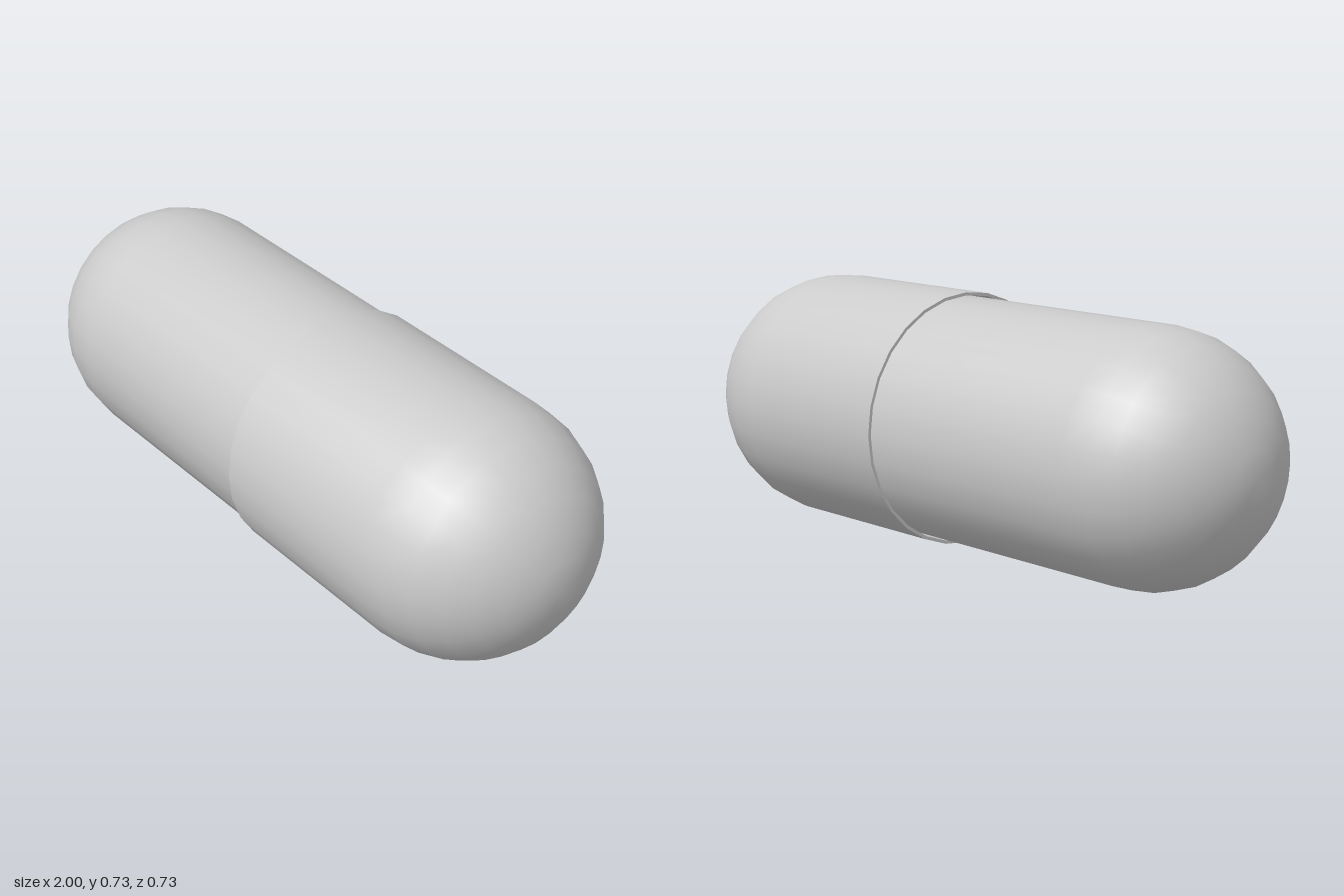
import * as THREE from 'three';
import { toCreasedNormals } from 'three/addons/utils/BufferGeometryUtils.js';

const SIDES = 28, DOME_STEPS = 7;

// Thin-walled round-ended shell along +y, open at yOpen, tip at yTip
function shell(radius, wall, yOpen, yTip) {
  const centre = yTip - radius;
  const arc = (r) => Array.from({ length: DOME_STEPS + 1 }, (_, i) => {
    const a = (i / DOME_STEPS) * Math.PI / 2;
    return new THREE.Vector2(i === DOME_STEPS ? 0 : r * Math.cos(a), centre + r * Math.sin(a));
  });
  const inner = radius - wall;
  const profile = [
    ...arc(inner).reverse(),
    new THREE.Vector2(inner, yOpen),
    new THREE.Vector2(radius, yOpen),
    ...arc(radius),
  ];
  return toCreasedNormals(new THREE.LatheGeometry(profile, SIDES), 0.7);
}

export function createModel() {
  const group = new THREE.Group();
  group.name = 'capsule';
  const material = new THREE.MeshStandardMaterial({ color: 0xcccccc, side: THREE.DoubleSide });
  const R = 0.366;

  const add = (name, geometry, turn) => {
    const mesh = new THREE.Mesh(geometry, material);
    mesh.name = name;
    mesh.rotation.z = turn;
    mesh.position.y = R;
    group.add(mesh);
  };

  // Wider cap towards +x, open rim at x = 0.08
  add('cap', shell(R, 0.009, 0.08, 1), -Math.PI / 2);
  // Narrower body towards -x, slipped inside the cap
  add('body', shell(0.352, 0.009, -0.4, 1), Math.PI / 2);
  return group;
}
